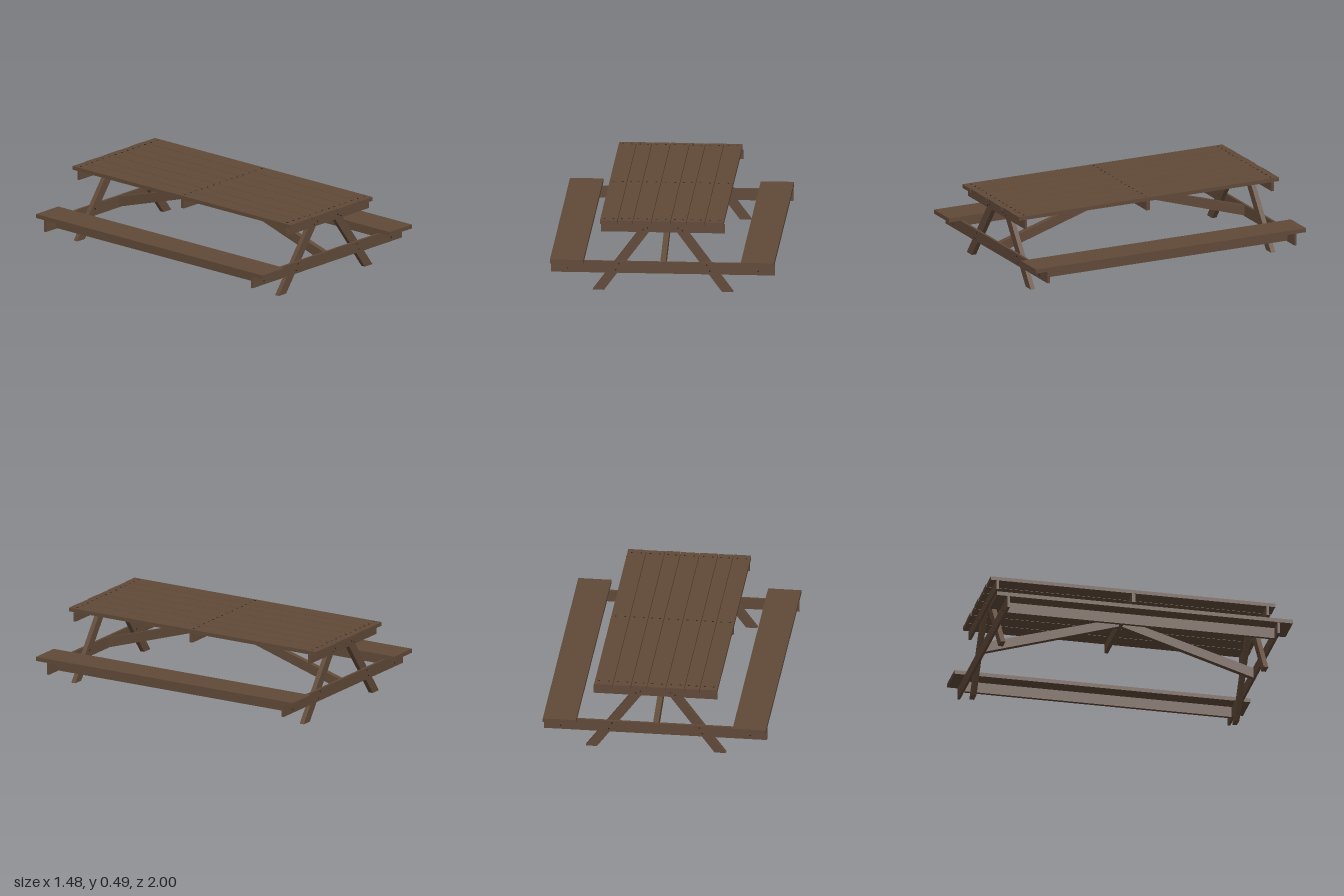
import * as THREE from 'three';

export function createModel() {
  const model = new THREE.Group();
  model.name = 'picnicTable';

  const wood = new THREE.MeshStandardMaterial({ color: 0x614a39 });
  wood.name = 'brown wood';
  const iron = new THREE.MeshStandardMaterial({ color: 0x2e231c });
  iron.name = 'dark iron';

  const add = (name, geometry, material = wood) => {
    const mesh = new THREE.Mesh(geometry, material);
    mesh.name = name;
    model.add(mesh);
    return mesh;
  };

  // Board given by its minimum and maximum on each axis
  const board = (name, [x0, x1], [y0, y1], [z0, z1]) =>
    add(name, new THREE.BoxGeometry(x1 - x0, y1 - y0, z1 - z0))
      .position.set((x0 + x1) / 2, (y0 + y1) / 2, (z0 + z1) / 2);

  // Flat outline given a thickness
  const slab = (points, depth) => new THREE.ExtrudeGeometry(
    new THREE.Shape(points.map(([x, y]) => new THREE.Vector2(x, y))),
    { depth, bevelEnabled: false });

  const nailTop = new THREE.CylinderGeometry(0.006, 0.006, 0.004, 8);
  const boltHead = new THREE.CylinderGeometry(0.005, 0.005, 0.006, 8).rotateX(Math.PI / 2);
  const bolt = (x, y, z) => add('bolt', boltHead, iron).position.set(x, y, z);

  // Tabletop planks with slightly uneven ends, nailed at three cleats
  const seams = [-0.415, -0.297, -0.195, -0.073, 0.053, 0.158, 0.28, 0.405];
  const stagger = [0, 0.003, 0.001, 0.004, 0, 0.005, 0.002];
  for (let i = 0; i < 7; i++) {
    const [a, b, s] = [seams[i], seams[i + 1], stagger[i]];
    board('tablePlank', [a + 0.002, b - 0.002], [0.466, 0.491], [-0.968 - s, 0.956 - s]);
    for (const z of [-0.921, 0, 0.905])
      for (const t of [0.25, 0.75])
        add('nail', nailTop, iron).position.set(a + (b - a) * t, 0.491, z);
  }

  // Middle cleat under the tabletop
  board('middleCleat', [-0.41, 0.41], [0.405, 0.466], [-0.012, 0.012]);

  // Trestles: out = outer face, mid = joint with the legs, inn = inner face
  for (const [out, mid, inn] of [[0.914, 0.897, 0.866], [-0.93, -0.913, -0.881]]) {
    const span = (p, q) => [Math.min(p, q), Math.max(p, q)];
    const dir = Math.sign(out);
    board('endCleat', [-0.41, 0.41], [0.405, 0.466], span(out, mid));
    board('crossBeam', [-0.74, 0.74], [0.123, 0.202], span(out, mid));

    for (const side of [-1, 1]) {
      const leg = slab([[0.39, 0], [0.465, 0], [0.12, 0.466], [0.045, 0.466]]
        .map(([x, y]) => [x * side, y]), Math.abs(mid - inn));
      leg.translate(0, 0, Math.min(mid, inn));
      add('leg', leg);

      // Bolts through the beam, cleat and seat rail
      for (const [x, y] of [[0.10, 0.435], [0.13, 0.42], [0.29, 0.185], [0.31, 0.145], [0.63, 0.15]])
        bolt(x * side, y, out);
      bolt(0.10 * side, 0.435, inn - dir * 0.002);
      bolt(0.29 * side, 0.185, inn - dir * 0.002);
    }

    // Diagonal brace from the middle cleat down to the cross beam
    const brace = slab([[0, 0.408], [0, 0.466], [mid, 0.198], [mid, 0.128]], 0.036);
    brace.rotateY(-Math.PI / 2).translate(0.018, 0, 0);
    add('diagonalBrace', brace);
  }

  // Benches: seat board with a rail beneath, one on each side
  for (const side of [-1, 1]) {
    const range = (p, q) => [p * side, q * side].sort((m, n) => m - n);
    board('seat', range(0.52, 0.74), [0.203, 0.23], [-1, 1]);
    board('seatRail', range(0.62, 0.642), [0.13, 0.204], [-0.913, 0.897]);
  }

  return model;
}
